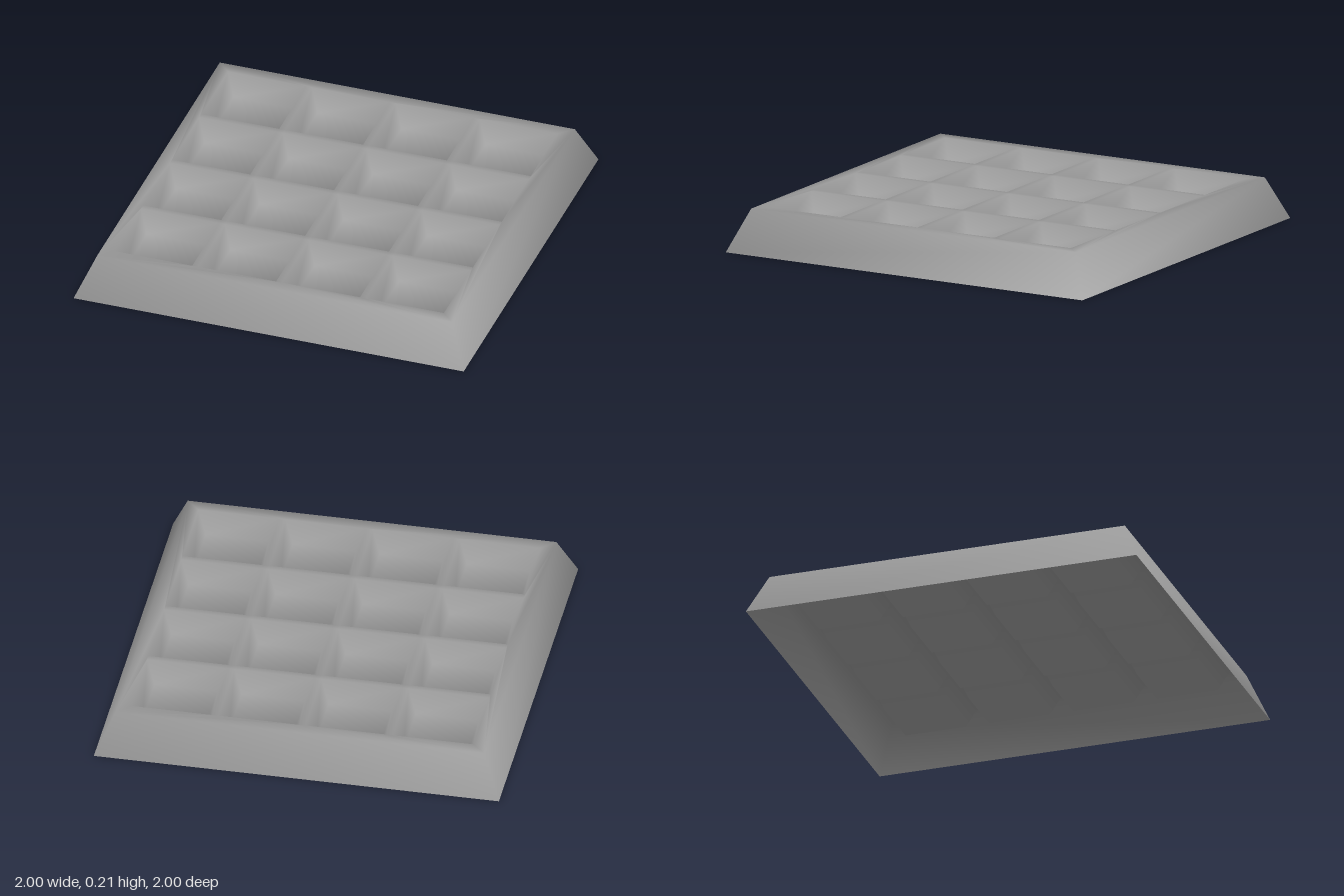
import * as THREE from 'three';

const HEIGHT = 0.21;   // top of the tray
const FLOOR = 0.1;     // pocket bottom
const RIM = 0.91;      // half width of the top
const PITCH = 0.43;    // spacing of pockets
const OPEN = 0.2;      // half width of a pocket mouth
const BASE = 0.155;    // half width of a pocket floor
const CORNERS = [[-1, -1], [-1, 1], [1, 1], [1, -1]];

// Smooth normals, each face weighted by its angle at the vertex
function angleWeightedNormals(positions, index) {
  const point = (i) => new THREE.Vector3().fromArray(positions, i * 3);
  const sums = Array.from({ length: positions.length / 3 }, () => new THREE.Vector3());
  for (let t = 0; t < index.length; t += 3) {
    for (let k = 0; k < 3; k++) {
      const v = index[t + k];
      const e1 = point(index[t + (k + 1) % 3]).sub(point(v));
      const e2 = point(index[t + (k + 2) % 3]).sub(point(v));
      const angle = e1.angleTo(e2);
      sums[v].add(e1.cross(e2).normalize().multiplyScalar(angle));
    }
  }
  return sums.flatMap((s) => s.normalize().toArray());
}

export function createModel() {
  const group = new THREE.Group();
  group.name = 'pocketTray';

  const centres = [-1.5, -0.5, 0.5, 1.5].map((k) => k * PITCH);
  const lines = centres.flatMap((c) => [c - OPEN, c + OPEN]);
  const n = lines.length;
  const positions = [];
  const index = [];

  const addVertex = (x, y, z) => positions.push(x, y, z) / 3 - 1;
  const addQuad = (a, b, c, d) => index.push(a, b, c, a, c, d);
  const addSquare = (cx, y, cz, half) =>
    CORNERS.map(([sx, sz]) => addVertex(cx + sx * half, y, cz + sz * half));
  const joinSquares = (outer, inner) => {
    for (let k = 0; k < 4; k++) {
      const m = (k + 1) % 4;
      addQuad(outer[k], outer[m], inner[m], inner[k]);
    }
  };

  // Grid of ridge corners on the top
  for (const z of lines) for (const x of lines) addVertex(x, HEIGHT, z);

  for (let j = 0; j < n - 1; j++) {
    for (let i = 0; i < n - 1; i++) {
      const a = j * n + i;
      const cell = [a, a + n, a + n + 1, a + 1];
      if (i % 2 || j % 2) {
        // Ridge between pockets
        addQuad(...cell);
      } else {
        // Tapered pocket: four walls and a floor
        const floor = addSquare(centres[i / 2], FLOOR, centres[j / 2], BASE);
        joinSquares(cell, floor);
        addQuad(...floor);
      }
    }
  }

  // Sloping sides
  const ground = addSquare(0, 0, 0, 1);
  const top = addSquare(0, HEIGHT, 0, RIM);
  joinSquares(ground, top);

  // Flat rim: fans from the top corners to the edge of the grid
  const gridEdges = [
    (s) => s * n,
    (s) => (n - 1) * n + s,
    (s) => (n - 1 - s) * n + n - 1,
    (s) => n - 1 - s,
  ];
  gridEdges.forEach((edge, k) => {
    const next = top[(k + 1) % 4];
    for (let s = 0; s < n - 1; s++) {
      index.push(s < n / 2 ? top[k] : next, edge(s + 1), edge(s));
    }
    index.push(top[k], next, edge(n / 2));
  });

  const geometry = new THREE.BufferGeometry();
  geometry.setAttribute('position', new THREE.Float32BufferAttribute(positions, 3));
  geometry.setAttribute('normal',
    new THREE.Float32BufferAttribute(angleWeightedNormals(positions, index), 3));
  geometry.setIndex(index);

  // Thin shell, open underneath
  const tray = new THREE.Mesh(
    geometry,
    new THREE.MeshStandardMaterial({ color: 0x999999, side: THREE.DoubleSide })
  );
  tray.name = 'trayShell';
  group.add(tray);
  return group;
}
